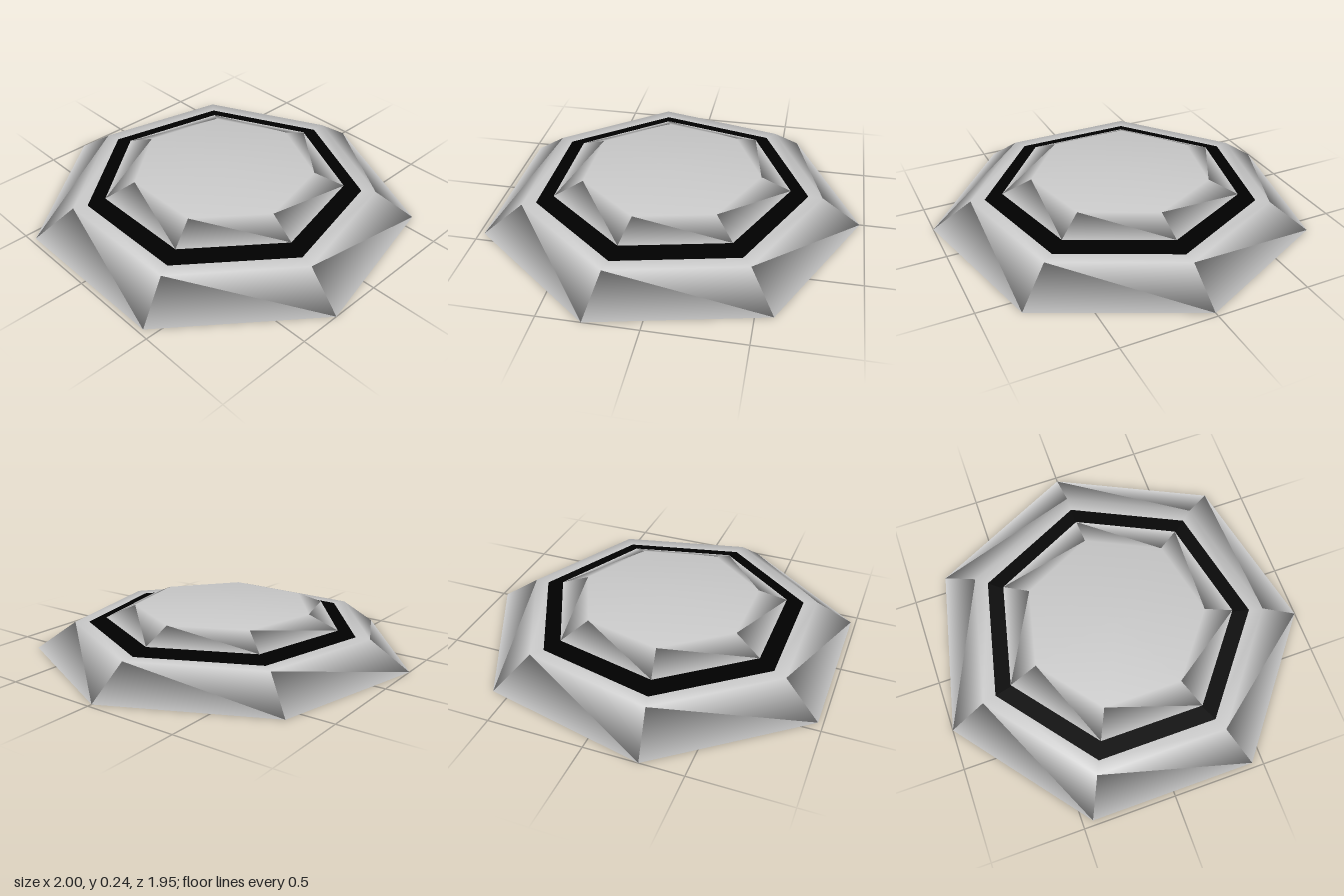
import * as THREE from 'three';
import { mergeVertices } from 'three/addons/utils/BufferGeometryUtils.js';

const SIDES = 7;

// Share vertices across all edges so the shading rolls softly over them
function soften(geometry) {
  geometry.deleteAttribute('normal');
  geometry.deleteAttribute('uv');
  const merged = mergeVertices(geometry, 1e-4);
  merged.computeVertexNormals();
  return merged;
}

// Seven-sided solid from a [radius, height] profile, one corner pointing to the back
function heptagonal(profile) {
  const points = profile.map(([r, y]) => new THREE.Vector2(r, y));
  return soften(new THREE.LatheGeometry(points, SIDES, Math.PI));
}

export function createModel() {
  const grey = new THREE.MeshStandardMaterial({ color: 0xcccccc });
  const black = new THREE.MeshStandardMaterial({ color: 0x000000 });
  const model = new THREE.Group();
  model.name = 'heptagonalPad';

  const add = (name, geometry, material) => {
    const mesh = new THREE.Mesh(geometry, material);
    mesh.name = name;
    mesh.position.z = 0.05;
    model.add(mesh);
    return mesh;
  };

  // Sloped base with a flat shoulder
  add('base', heptagonal([[0, 0], [1.026, 0], [0.815, 0.148], [0.74, 0.148]]), grey);

  // Black panel filling the top of the base
  const panel = new THREE.CircleGeometry(0.74, SIDES, Math.PI / 2);
  panel.rotateX(-Math.PI / 2);
  panel.translate(0, 0.148, 0);
  add('blackPanel', panel, black);

  // Square stem running from the underside up into the plate
  const stem = new THREE.BoxGeometry(0.135, 0.2, 0.135);
  stem.translate(0, 0.1, 0);
  add('stem', soften(stem), grey);

  // Bevelled plate floating above the panel
  add('topPlate', heptagonal([[0, 0.172], [0.645, 0.172], [0.485, 0.241], [0, 0.241]]), grey);

  return model;
}
